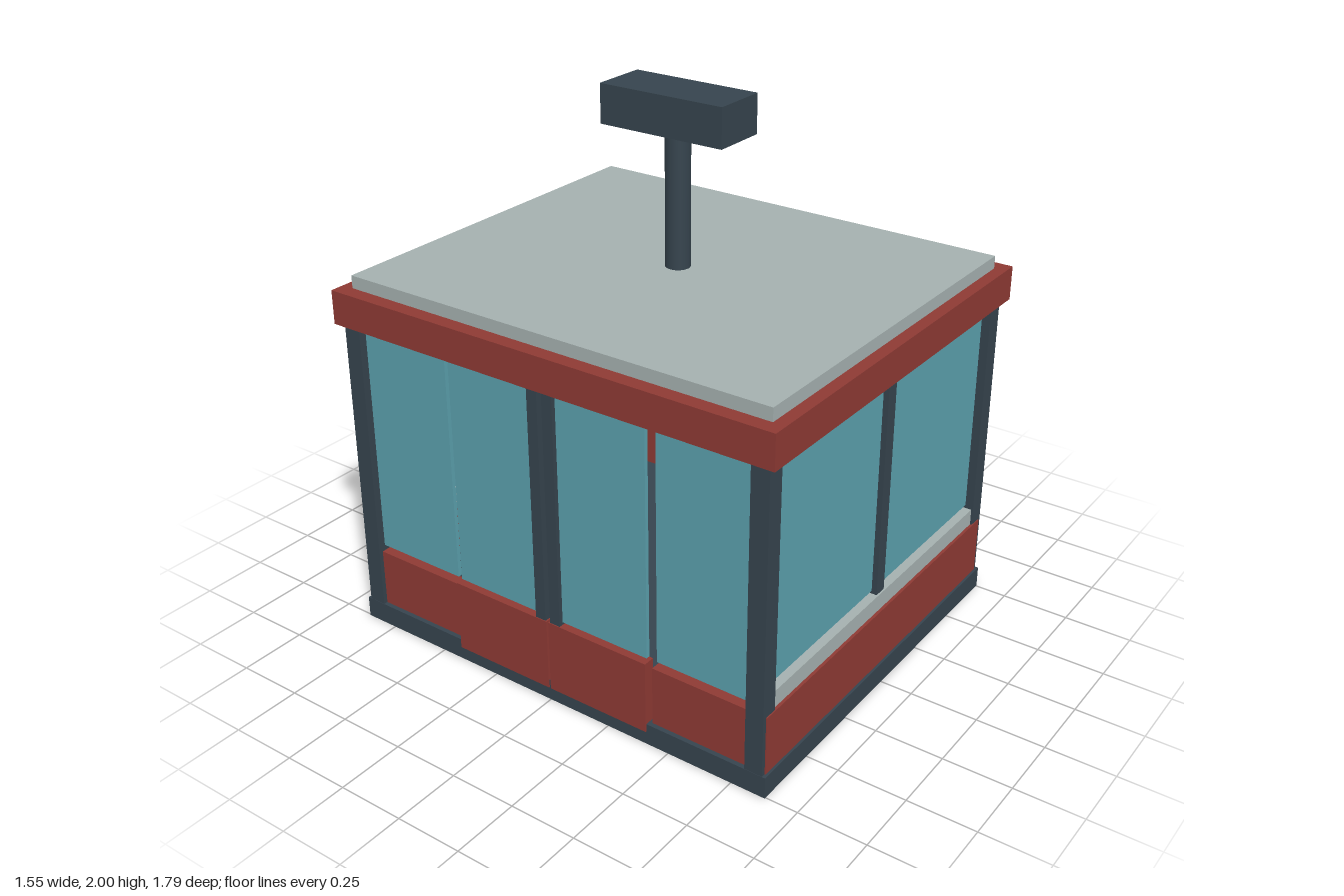
import * as THREE from 'three';

const mat = (name, color) => {
  const m = new THREE.MeshStandardMaterial({ color });
  m.name = name;
  return m;
};

export function createModel() {
  const model = new THREE.Group();
  model.name = 'cableCarCabin';
  const steel = mat('dark steel', 0x36444e);
  const red = mat('brick red', 0x8e3a34);
  const silver = mat('pale grey', 0xa5b1b0);
  const glass = mat('teal glass', 0x5ba0ad);

  // box given by its lower and upper bounds on each axis
  const box = (parent, name, material, [x0, x1], [y0, y1], [z0, z1]) => {
    const mesh = new THREE.Mesh(new THREE.BoxGeometry(x1 - x0, y1 - y0, z1 - z0), material);
    mesh.position.set((x0 + x1) / 2, (y0 + y1) / 2, (z0 + z1) / 2);
    mesh.name = name;
    parent.add(mesh);
  };
  // same range mirrored when s is -1
  const flip = (s, a, b) => (s > 0 ? [a, b] : [-b, -a]);

  // floor and roof
  box(model, 'floor', steel, [-0.755, 0.755], [0, 0.08], [-0.88, 0.88]);
  box(model, 'roofFascia', red, [-0.775, 0.775], [1.2, 1.325], [-0.895, 0.895]);
  box(model, 'roofPlate', silver, [-0.72, 0.72], [1.325, 1.372], [-0.85, 0.85]);

  // hanger
  const pole = new THREE.Mesh(new THREE.CylinderGeometry(0.045, 0.045, 0.5, 16), steel);
  pole.position.y = 1.615;
  pole.name = 'hangerPole';
  model.add(pole);
  box(model, 'hangerGrip', steel, [-0.103, 0.103], [1.86, 2], [-0.245, 0.245]);

  // end walls: lower panel, sill, window and mullion
  for (const s of [1, -1]) {
    const wall = new THREE.Group();
    wall.name = s > 0 ? 'frontWall' : 'backWall';
    box(wall, 'lowerPanel', red, [-0.738, 0.738], [0.08, 0.3], flip(s, 0.82, 0.871));
    box(wall, 'sill', silver, [-0.69, 0.69], [0.3, 0.363], flip(s, 0.805, 0.86));
    box(wall, 'window', glass, [-0.69, 0.69], [0.375, 1.165], flip(s, 0.82, 0.835));
    box(wall, 'mullion', steel, [-0.025, 0.025], [0.365, 1.177], flip(s, 0.81, 0.855));
    model.add(wall);
  }

  // side walls: corner post, fixed bay and sliding door in each quarter
  for (const sx of [1, -1]) {
    for (const sz of [1, -1]) {
      const side = new THREE.Group();
      side.name = (sx > 0 ? 'left' : 'right') + (sz > 0 ? 'Front' : 'Back') + 'Side';
      const x = (a, b) => flip(sx, a, b);
      const z = (a, b) => flip(sz, a, b);
      box(side, 'cornerPost', steel, x(0.688, 0.754), [0.07, 1.2], z(0.8, 0.867));
      box(side, 'fixedPanel', red, x(0.695, 0.738), [0.08, 0.3], z(0.425, 0.8));
      box(side, 'fixedWindow', glass, x(0.71, 0.725), [0.322, 1.172], z(0.435, 0.8));
      box(side, 'doorPanel', red, x(0.715, 0.759), [0.05, 0.322], z(0.004, 0.412));
      box(side, 'doorWindow', glass, x(0.725, 0.74), [0.332, 1.184], z(0.05, 0.405));
      box(side, 'doorStile', steel, x(0.71, 0.756), [0.322, 1.193], z(0.01, 0.052));
      model.add(side);
    }
  }
  return model;
}
